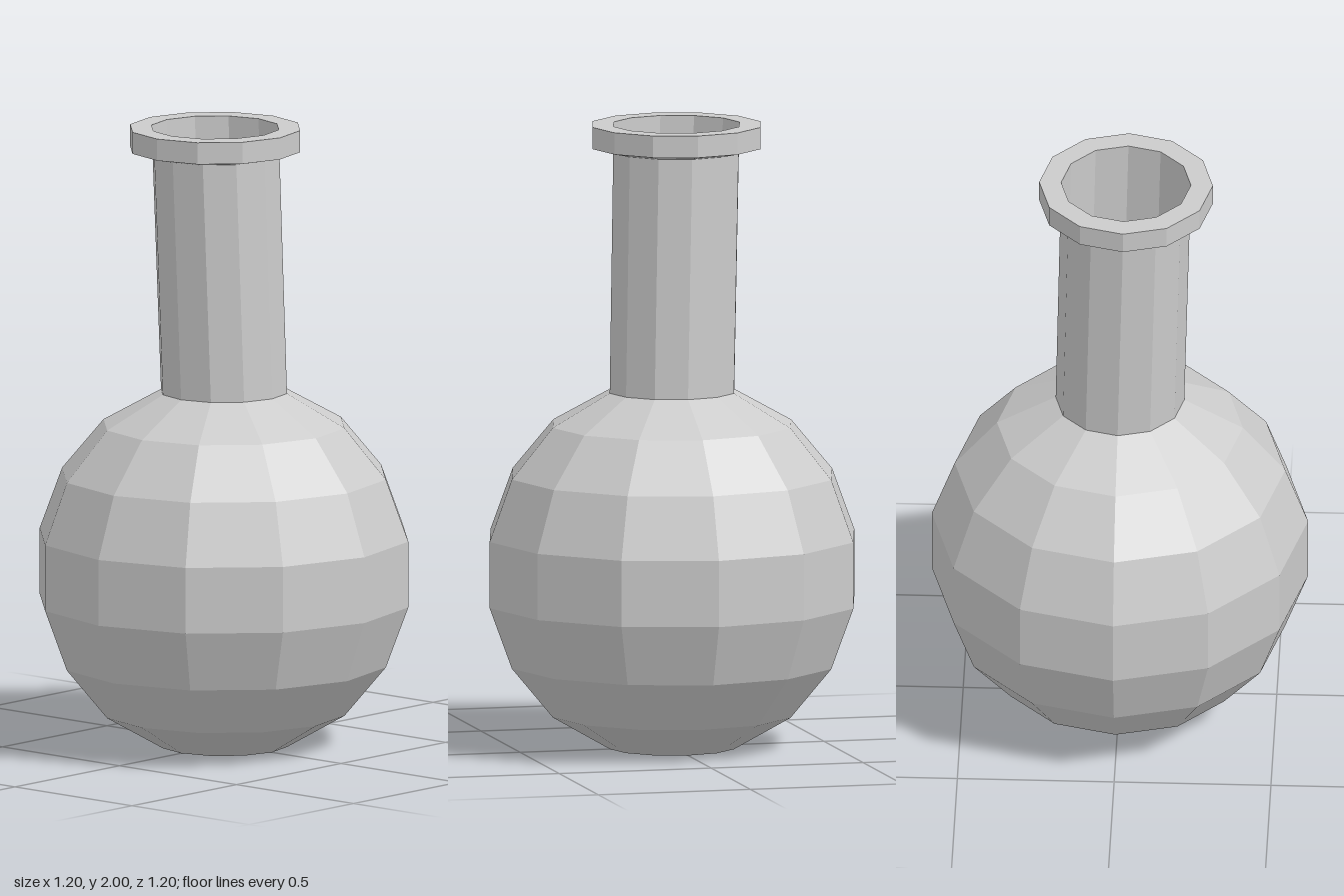
import * as THREE from 'three';

const SIDES = 12;
const NECK_BASE = 1.145, NECK_TOP = 1.915, LEAN = 0.02;

// Faceted turned part from [radius, y] points; an upward profile faces outward.
function turned(name, profile, side = THREE.FrontSide) {
  const geometry = new THREE.LatheGeometry(profile.map(([r, y]) => new THREE.Vector2(r, y)), SIDES);
  const p = geometry.attributes.position;
  // The neck and lip lean slightly to one corner above the bulb.
  for (let i = 0; i < p.count; i++) {
    const t = THREE.MathUtils.clamp((p.getY(i) - NECK_BASE) / (NECK_TOP - NECK_BASE), 0, 1);
    p.setX(i, p.getX(i) - LEAN * t);
    p.setZ(i, p.getZ(i) + LEAN * t);
  }
  geometry.computeVertexNormals();
  const material = new THREE.MeshStandardMaterial({ color: 0xcccccc, flatShading: true, side });
  const mesh = new THREE.Mesh(geometry, material);
  mesh.name = name;
  return mesh;
}

export function createModel() {
  const flask = new THREE.Group();
  flask.name = 'flask';

  // Round bulb with a flat foot
  flask.add(turned('bulb', [
    [0, 0], [0.205, 0], [0.392, 0.108], [0.527, 0.27], [0.6, 0.467],
    [0.6, 0.68], [0.527, 0.878], [0.392, 1.04], [0.205, NECK_BASE],
  ]));

  // Hollow inside of the bulb, facing inward
  flask.add(turned('bulbInterior', [
    [0.205, NECK_BASE], [0.31, 0.76], [0.355, 0.64], [0.355, 0.51],
    [0.31, 0.395], [0.23, 0.3], [0.12, 0.235], [0, 0.235],
  ]));

  // Thin open neck
  flask.add(turned('neck', [[0.205, NECK_BASE], [0.207, 2]], THREE.DoubleSide));

  // Lip with a sloped underside and flat top
  flask.add(turned('lip', [[0.207, NECK_TOP], [0.277, 1.93], [0.277, 2], [0.207, 2]]));

  return flask;
}
